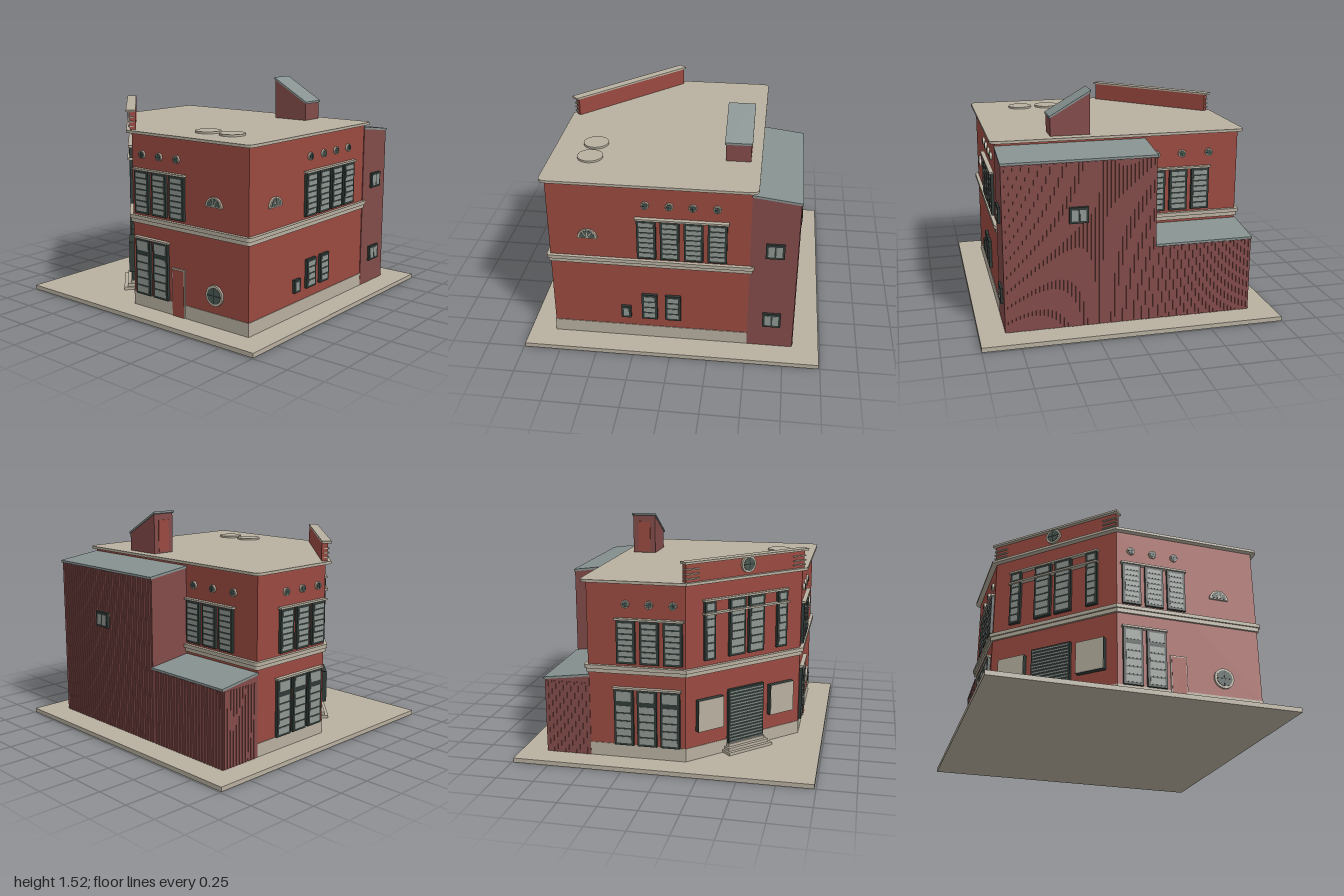
import * as THREE from 'three';
import { mergeGeometries } from 'three/addons/utils/BufferGeometryUtils.js';

const material = (name, color) => {
  const m = new THREE.MeshStandardMaterial({ color });
  m.name = name;
  return m;
};

export function createModel() {
  const sand = material('sand', 0xb8b0a0);
  const brick = material('brick red', 0x9a4a40);
  const cladding = material('cladding red', 0x824b49);
  const metal = material('grey metal', 0x869190);
  const dark = material('dark frame', 0x2f3a37);
  const pane = material('pale glass', 0x8f9691);
  const tint = material('dark glass', 0x4a5852);

  const root = new THREE.Group();
  root.name = 'building';

  const add = (parent, name, geo, mat) => {
    const m = new THREE.Mesh(geo, mat);
    m.name = name;
    parent.add(m);
    return m;
  };
  const box = (parent, name, mat, x, y, z, w, h, d) => {
    const m = add(parent, name, new THREE.BoxGeometry(w, h, d), mat);
    m.position.set(x, y, z);
    return m;
  };
  const extrude = (shape, depth, curveSegments = 8) =>
    new THREE.ExtrudeGeometry(shape, { depth, bevelEnabled: false, curveSegments });
  const polygon = (pts) => new THREE.Shape(pts.map(([a, b]) => new THREE.Vector2(a, b)));

  // Storey slab: the chamfered footprint grown outward by d, with corner radius r
  const slab = (name, mat, d, y0, y1, r = 0) => {
    const X = 0.825 + d, F = 0.81 + d, B = -0.51 - d, k = d * 0.414;
    const s = new THREE.Shape();
    s.moveTo(-0.155 - k, -F);
    s.lineTo(X - r, -F);
    s.quadraticCurveTo(X, -F, X, -F + r);
    s.lineTo(X, -B - r);
    s.quadraticCurveTo(X, -B, X - r, -B);
    s.lineTo(-X + r, -B);
    s.quadraticCurveTo(-X, -B, -X, -B - r);
    s.lineTo(-X, -0.14 - k);
    const geo = extrude(s, y1 - y0);
    geo.rotateX(-Math.PI / 2);
    geo.translate(0, y0, 0);
    add(root, name, geo, mat);
  };

  box(root, 'ground plate', sand, 0, 0.015, 0, 2, 0.03, 1.98);
  slab('plinth', sand, 0.004, 0.03, 0.12);
  slab('main walls', brick, 0, 0.12, 1.21);
  slab('belt lower step', sand, 0.014, 0.61, 0.637, 0.02);
  slab('belt upper step', sand, 0.024, 0.637, 0.662, 0.03);
  slab('roof slab', sand, 0.036, 1.21, 1.228, 0.05);
  for (const x of [0.31, 0.51]) {
    add(root, 'roof disc', new THREE.CylinderGeometry(0.085, 0.085, 0.014, 32), sand)
      .position.set(x, 1.234, 0.58);
  }

  // Clad annexes at the back: profile in z and y, swept along x
  const sweepX = (name, mat, x0, x1, pts) => {
    const geo = extrude(polygon(pts), x1 - x0);
    geo.rotateY(-Math.PI / 2);
    geo.translate(x1, 0, 0);
    add(root, name, geo, mat);
  };
  const ribs = [];
  const rib = (x, z, h, w, d) => {
    const g = new THREE.BoxGeometry(w, h, d);
    g.translate(x, 0.03 + h / 2, z);
    ribs.push(g);
  };
  const annex = (x0, x1, top) => {
    sweepX('annex walls', cladding, x0, x1,
      [[-0.81, 0.03], [-0.505, 0.03], [-0.505, top + 0.025], [-0.81, top - 0.015]]);
    sweepX('annex roof', metal, x0 - 0.003, x1 + 0.003,
      [[-0.82, top - 0.016], [-0.505, top + 0.025], [-0.505, top + 0.04], [-0.82, top]]);
    for (let x = x0 + 0.012; x < x1; x += 0.026) rib(x, -0.811, top - 0.05, 0.012, 0.008);
  };
  annex(-0.17, 0.83, 1.152);
  annex(-0.83, -0.17, 0.552);
  for (let z = -0.795; z < -0.51; z += 0.026) rib(-0.83, z, 0.5, 0.008, 0.012);
  add(root, 'cladding ribs', mergeGeometries(ribs), cladding);

  // Rooftop stack with a sloping lid
  const stack = extrude(polygon([[0.195, 1.22], [0.46, 1.22], [0.46, 1.35], [0.195, 1.505]]), 0.165);
  stack.translate(0, 0, -0.475);
  add(root, 'roof stack', stack, cladding);
  const lid = extrude(polygon([[0.187, 1.508], [0.466, 1.346], [0.466, 1.36], [0.187, 1.522]]), 0.18);
  lid.translate(0, 0, -0.4825);
  add(root, 'roof stack lid', lid, metal);
  box(root, 'roof stack hatch', brick, 0.194, 1.35, -0.392, 0.006, 0.22, 0.09);

  // Wall frames: local x runs right along the wall, local z points outward
  const wall = (name, x, z, angle) => {
    const g = new THREE.Group();
    g.name = name;
    g.position.set(x, 0, z);
    g.rotation.y = angle;
    root.add(g);
    return g;
  };
  const front = wall('front wall details', 0, 0.81, 0);
  const east = wall('left wall details', 0.825, 0, Math.PI / 2);
  const west = wall('right wall details', -0.825, 0, -Math.PI / 2);
  const back = wall('back wall details', 0, -0.51, Math.PI);
  const annexBack = wall('annex back details', 0, -0.815, Math.PI);
  const corner = wall('entrance wall details', -0.49, 0.475, -Math.PI / 4);

  // Framed window with a grid of panes
  const windowAt = (p, u, y0, y1, w, rows, cols = 1) => {
    const h = y1 - y0, b = 0.016, gap = 0.011;
    box(p, 'window frame', dark, u, y0 + h / 2, 0.008, w, h, 0.024);
    const pw = (w - 2 * b - gap * (cols - 1)) / cols;
    const ph = (h - 2 * b - gap * (rows - 1)) / rows;
    for (let r = 0; r < rows; r++) for (let c = 0; c < cols; c++) {
      box(p, 'window pane', pane, u - w / 2 + b + pw / 2 + c * (pw + gap),
        y0 + b + ph / 2 + r * (ph + gap), 0.02, pw, ph, 0.004);
    }
  };
  const header = (p, u, y, w) => box(p, 'window header', sand, u, y, 0.012, w, 0.013, 0.034);
  const arcPlate = (p, name, mat, u, y, z, r, d, half) => {
    const s = new THREE.Shape();
    s.absarc(0, 0, r, 0, half ? Math.PI : Math.PI * 2, false);
    add(p, name, extrude(s, d, 24), mat).position.set(u, y, z);
  };
  const roundWindow = (p, u, y, r) => {
    arcPlate(p, 'round window surround', sand, u, y, -0.005, r, 0.019);
    arcPlate(p, 'round window glass', tint, u, y, 0.012, r * 0.78, 0.005);
    box(p, 'round window bar', dark, u, y, 0.017, r * 0.1, r * 1.5, 0.004);
    box(p, 'round window bar', dark, u, y, 0.017, r * 1.5, r * 0.1, 0.004);
  };
  const fanWindow = (p, u, y) => {
    arcPlate(p, 'fan window surround', sand, u, y, -0.005, 0.066, 0.019, true);
    arcPlate(p, 'fan window glass', tint, u, y + 0.007, 0.012, 0.051, 0.005, true);
    for (const a of [-0.6, 0, 0.6]) {
      box(p, 'fan window bar', sand, u - Math.sin(a) * 0.028, y + 0.005 + Math.cos(a) * 0.028,
        0.016, 0.005, 0.05, 0.004).rotation.z = a;
    }
  };
  const upperRow = (p, us, vents = us) => {
    for (const u of us) windowAt(p, u, 0.68, 0.967, 0.125, 7);
    for (const u of vents) roundWindow(p, u, 1.073, 0.026);
    header(p, (us[0] + us[us.length - 1]) / 2, 0.975, us[us.length - 1] - us[0] + 0.145);
  };
  const lowerRow = (p, us) => {
    for (const u of us) {
      windowAt(p, u, 0.12, 0.41, 0.13, 5);
      windowAt(p, u, 0.41, 0.507, 0.13, 1);
    }
    header(p, (us[0] + us[us.length - 1]) / 2, 0.513, us[us.length - 1] - us[0] + 0.145);
  };

  // Front wall
  upperRow(front, [-0.058, 0.097, 0.25], [-0.058, 0.093, 0.245]);
  lowerRow(front, [-0.055, 0.103]);
  fanWindow(front, 0.557, 0.808);
  roundWindow(front, 0.56, 0.24, 0.068);
  box(front, 'side door surround', sand, 0.252, 0.193, 0.003, 0.112, 0.326, 0.012);
  box(front, 'side door', brick, 0.252, 0.188, 0.007, 0.098, 0.316, 0.008);

  // Left wall and the annex end
  upperRow(east, [-0.165, -0.012, 0.142, 0.295], [-0.17, -0.015, 0.135, 0.29]);
  fanWindow(east, -0.553, 0.805);
  windowAt(east, -0.313, 0.19, 0.28, 0.066, 1);
  for (const u of [-0.153, 0.005]) windowAt(east, u, 0.19, 0.387, 0.105, 4);
  for (const y of [0.74, 0.195]) windowAt(east, 0.665, y, y + 0.107, 0.122, 1, 2);

  // Right wall, back wall and annex back
  upperRow(west, [-0.25, -0.095, 0.06]);
  lowerRow(west, [-0.27, -0.115, 0.04]);
  upperRow(back, [0.25, 0.405, 0.56], [0.25, 0.43, 0.62]);
  windowAt(annexBack, -0.345, 0.74, 0.845, 0.125, 1, 2);

  // Entrance wall: tall windows, sun bars, display boards, slatted door, steps
  for (const s of [-1, 1]) {
    windowAt(corner, s * 0.295, 0.7, 1.09, 0.085, 7);
    windowAt(corner, s * 0.078, 0.7, 1.09, 0.127, 7);
    box(corner, 'display board box', dark, s * 0.295, 0.335, 0.015, 0.2, 0.215, 0.04);
    box(corner, 'display board', sand, s * 0.295, 0.335, 0.036, 0.197, 0.212, 0.004);
    for (const y of [1.25, 1.28, 1.31]) {
      box(corner, 'parapet stripe', sand, s * 0.432, y, 0.004, 0.105, 0.008, 0.036);
    }
  }
  box(corner, 'sun bar', sand, 0, 1.01, 0.018, 0.69, 0.012, 0.034);
  header(corner, 0, 1.096, 0.69);
  box(corner, 'entrance door', dark, 0, 0.25, 0.008, 0.29, 0.44, 0.026);
  for (let i = 0; i < 19; i++) {
    box(corner, 'door slat', pane, 0, 0.052 + i * 0.0222, 0.022, 0.27, 0.008, 0.006);
  }
  for (let i = 0; i < 3; i++) {
    box(corner, 'entrance step', sand, 0, 0.04 + i * 0.02, 0.04 - i * 0.012,
      0.36 - i * 0.03, 0.02, 0.08 - i * 0.024);
  }

  // Parapet over the entrance
  box(corner, 'parapet wall', brick, 0, 1.288, -0.008, 0.955, 0.12, 0.04);
  box(corner, 'parapet cap', sand, 0, 1.353, 0.004, 0.99, 0.014, 0.064);
  const badge = new THREE.Group();
  badge.name = 'parapet round window';
  badge.position.z = 0.014;
  corner.add(badge);
  roundWindow(badge, 0, 1.3, 0.055);

  return root;
}
